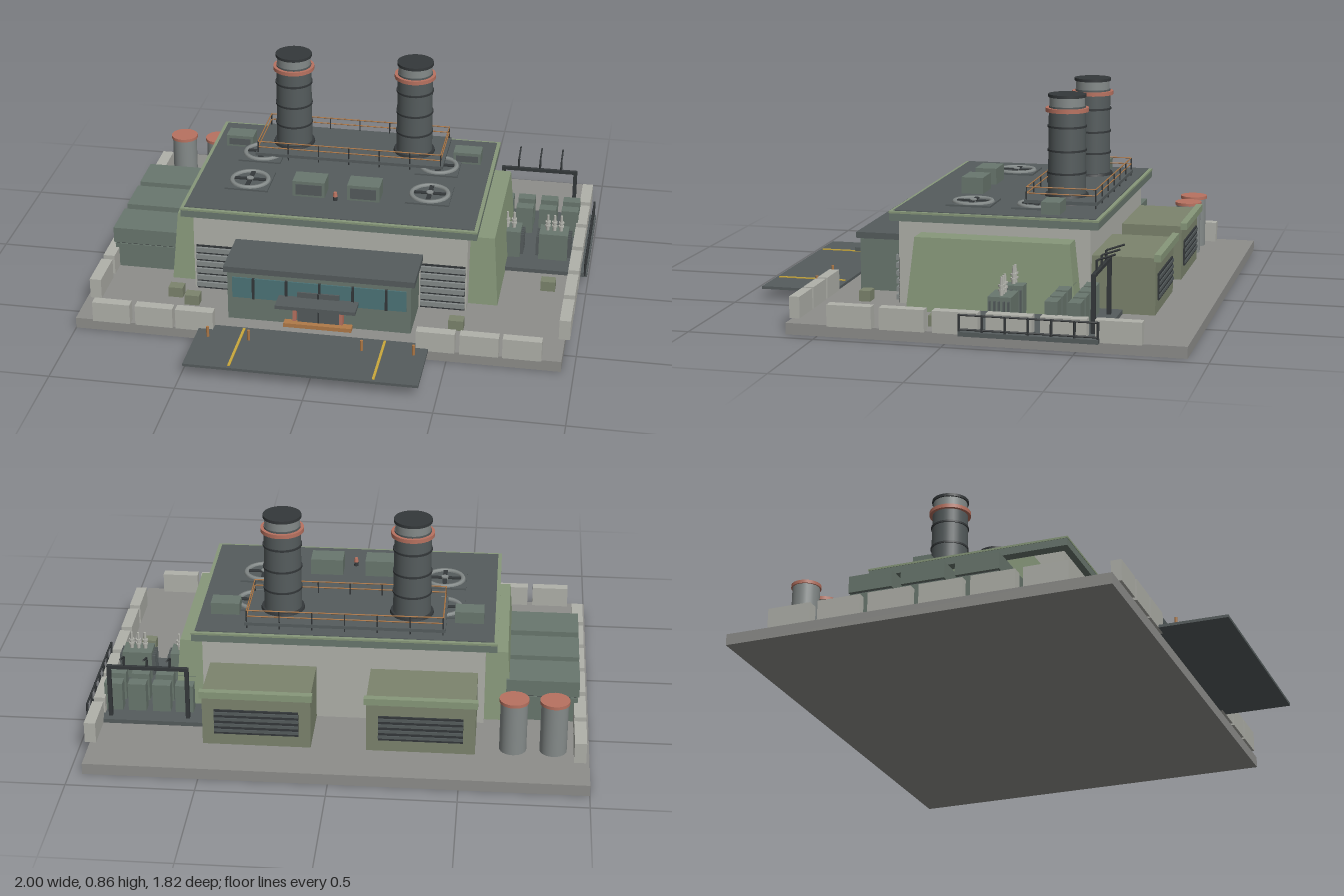
import * as THREE from 'three';

const mat = (color, double) => new THREE.MeshStandardMaterial({ color, side: double ? THREE.DoubleSide : THREE.FrontSide });
const M = {
  slab: mat(0x8e8e8b), wall: mat(0xb0b1aa), dark: mat(0x555c5d), black: mat(0x34383a),
  green: mat(0x87987a), olive: mat(0x7c846d), steel: mat(0x69776e), rust: mat(0xb87260),
  glass: mat(0x4c7478), yellow: mat(0xc9a83c), grey: mat(0x858b8a), amber: mat(0xb07a48),
};

export function createModel() {
  const root = new THREE.Group();
  const add = (parent, name, geo, m, x = 0, y = 0, z = 0) => {
    const mesh = new THREE.Mesh(geo, m);
    mesh.name = name;
    mesh.position.set(x, y, z);
    parent.add(mesh);
    return mesh;
  };
  const group = (name, x = 0, y = 0, z = 0, parent = root) => {
    const g = new THREE.Group();
    g.name = name;
    g.position.set(x, y, z);
    parent.add(g);
    return g;
  };
  // box given by its limits on each axis
  const box = (name, m, x0, x1, y0, y1, z0, z1, parent = root) =>
    add(parent, name, new THREE.BoxGeometry(x1 - x0, y1 - y0, z1 - z0), m, (x0 + x1) / 2, (y0 + y1) / 2, (z0 + z1) / 2);
  const cyl = (name, m, rTop, rBottom, y0, y1, x, z, parent = root, sides = 24) =>
    add(parent, name, new THREE.CylinderGeometry(rTop, rBottom, y1 - y0, sides), m, x, (y0 + y1) / 2, z);
  // thin round bar between two points
  const bar = (name, m, a, b, r, parent = root) => {
    const p = new THREE.Vector3(...a), d = new THREE.Vector3(...b).sub(p);
    const mesh = add(parent, name, new THREE.CylinderGeometry(r, r, d.length(), 6), m);
    mesh.position.copy(p).addScaledVector(d, 0.5);
    mesh.quaternion.setFromUnitVectors(new THREE.Vector3(0, 1, 0), d.normalize());
    return mesh;
  };
  const G = 0.045; // ground level

  // ground and forecourt
  box('groundSlab', M.slab, -1, 0.95, 0, G, -0.915, 0.625);
  box('forecourt', M.dark, -0.49, 0.43, G, 0.056, 0.6, 0.908);
  for (const x of [-0.31, 0.255]) box('laneLine', M.yellow, x - 0.005, x + 0.005, 0.056, 0.06, 0.61, 0.895);
  for (const x of [-0.44, -0.275, 0.175, 0.38]) cyl('bollard', M.amber, 0.006, 0.006, 0.056, 0.1, x, 0.69, root, 8);

  // perimeter barriers
  const barrier = (x0, x1, z0, z1) => {
    box('barrier', M.wall, x0, x1, G, 0.13, z0, z1);
  };
  for (const x of [-0.925, -0.75, -0.585, 0.38, 0.552, 0.72]) barrier(x, x + 0.153, 0.595, 0.636);
  for (let i = 0; i < 6; i++) {
    const z = -0.75 + i * 0.206;
    barrier(-0.987, -0.94, z, z + 0.175);
    barrier(0.925, 0.97, z, z + 0.175);
  }

  // main hall
  box('hall', M.wall, -0.585, 0.537, G, 0.385, -0.47, 0.295);
  box('roofBand', M.steel, -0.63, 0.575, 0.382, 0.412, -0.508, 0.323);
  box('roofTrim', M.green, -0.632, 0.577, 0.412, 0.42, -0.51, 0.325);
  box('roofDeck', M.dark, -0.617, 0.562, 0.4, 0.423, -0.495, 0.31);

  // tapered side wings
  const wing = (x0, x1, side) => {
    const mesh = box('sideWing', M.green, x0, x1, G, 0.335, -0.44, 0.235);
    const p = mesh.geometry.attributes.position;
    for (let i = 0; i < p.count; i++) if (p.getY(i) > 0) {
      p.setZ(i, p.getZ(i) * 0.91);
      if (p.getX(i) * side > 0) p.setX(i, p.getX(i) - side * 0.022);
    }
    mesh.geometry.computeVertexNormals();
  };
  wing(-0.695, -0.57, -1);
  wing(0.52, 0.657, 1);

  // louvred shutters on the front wall
  for (const [x0, x1] of [[-0.575, -0.4], [0.35, 0.53]]) {
    box('shutter', M.black, x0, x1, G, 0.245, 0.29, 0.299);
    for (let i = 0; i < 6; i++) box('shutterSlat', M.grey, x0, x1, 0.057 + i * 0.032, 0.077 + i * 0.032, 0.295, 0.31);
  }

  // entrance block
  const entry = group('entrance');
  box('entranceWall', M.steel, -0.397, 0.343, G, 0.26, 0.29, 0.515, entry);
  box('entranceRoof', M.dark, -0.41, 0.358, 0.26, 0.285, 0.29, 0.528, entry);
  box('windowBand', M.glass, -0.377, 0.325, 0.145, 0.235, 0.51, 0.52, entry);
  for (let i = 0; i < 5; i++) box('mullion', M.black, -0.296 + i * 0.134, -0.286 + i * 0.134, 0.145, 0.237, 0.51, 0.526, entry);
  box('door', M.dark, -0.112, 0.057, G, 0.195, 0.51, 0.527, entry);
  box('doorSplit', M.black, -0.03, -0.024, G, 0.195, 0.515, 0.53, entry);
  box('canopy', M.dark, -0.187, 0.135, 0.157, 0.172, 0.51, 0.605, entry);
  for (const x of [-0.122, 0.067]) box('doorLamp', M.rust, x - 0.007, x + 0.007, 0.07, 0.15, 0.51, 0.54, entry);
  box('doorStep', M.amber, -0.165, 0.11, G, 0.062, 0.51, 0.55, entry);

  // rear annexes
  for (const x of [-0.345, 0.295]) {
    const a = group('rearAnnex', x);
    box('annexBody', M.olive, -0.212, 0.212, G, 0.27, -0.72, -0.46, a);
    box('annexLip', M.green, -0.22, 0.22, 0.257, 0.285, -0.742, -0.715, a);
    box('annexWindow', M.black, -0.165, 0.165, 0.095, 0.2, -0.727, -0.715, a);
    for (let i = 0; i < 4; i++) box('annexLouvre', M.dark, -0.165, 0.165, 0.105 + i * 0.025, 0.117 + i * 0.025, -0.731, -0.72, a);
  }

  // chimneys
  for (const x of [-0.285, 0.23]) {
    const c = group('chimney', x, 0, -0.312);
    cyl('chimneyFoot', M.black, 0.085, 0.095, 0.42, 0.46, 0, 0, c, 32);
    cyl('chimneyShaft', M.dark, 0.073, 0.076, 0.42, 0.81, 0, 0, c, 32);
    cyl('chimneyNeck', M.grey, 0.07, 0.07, 0.805, 0.85, 0, 0, c, 32);
    for (const y of [0.54, 0.63, 0.725]) cyl('hoop', M.black, 0.078, 0.078, y, y + 0.008, 0, 0, c, 32);
    cyl('warningRing', M.rust, 0.086, 0.086, 0.787, 0.803, 0, 0, c, 32);
    cyl('chimneyCap', M.black, 0.076, 0.076, 0.845, 0.857, 0, 0, c, 32);
  }

  // roof platform with railing
  box('roofPlatform', M.dark, -0.425, 0.37, 0.437, 0.45, -0.462, -0.17);
  const rail = group('roofRailing');
  for (const y of [0.475, 0.5]) {
    for (const z of [-0.455, -0.177]) bar('rail', M.amber, [-0.415, y, z], [0.36, y, z], 0.0025, rail);
    for (const x of [-0.415, 0.36]) bar('rail', M.amber, [x, y, -0.455], [x, y, -0.177], 0.0025, rail);
  }
  for (let i = 0; i < 7; i++) for (const z of [-0.455, -0.177]) {
    const x = -0.415 + i * 0.1292;
    bar('railPost', M.black, [x, 0.42, z], [x, 0.5, z], 0.003, rail);
  }

  // roof fans
  for (const x of [-0.402, 0.347]) for (const z of [-0.222, 0.042]) {
    const f = group('roofFan', x, 0, z);
    box('fanBase', M.dark, -0.09, 0.09, 0.42, 0.43, -0.09, 0.09, f);
    const ring = add(f, 'fanRing', new THREE.TorusGeometry(0.075, 0.011, 6, 28), M.grey, 0, 0.429, 0);
    ring.rotation.x = Math.PI / 2;
    for (const s of [0, 1]) {
      const blade = add(f, 'fanBlade', new THREE.BoxGeometry(0.13, 0.005, 0.018), M.black, 0, 0.434, 0);
      blade.rotation.y = s * Math.PI / 2;
    }
    cyl('fanHub', M.grey, 0.015, 0.015, 0.43, 0.44, 0, 0, f, 12);
  }

  // rooftop units and beacon
  const unit = (x, z, w, d, top) => {
    box('roofUnit', M.steel, x - w / 2, x + w / 2, 0.42, top, z - d / 2, z + d / 2);
    box('roofUnitGrille', M.dark, x - w * 0.4, x + w * 0.4, 0.432, top - 0.012, z + d / 2 - 0.002, z + d / 2 + 0.003);
  };
  for (const x of [-0.515, 0.46]) unit(x, -0.308, 0.115, 0.075, 0.472);
  for (const x of [-0.138, 0.088]) unit(x, 0.097, 0.133, 0.09, 0.49);
  cyl('beaconBase', M.black, 0.008, 0.01, 0.42, 0.44, -0.026, 0.15, root, 10);
  cyl('beacon', M.rust, 0.007, 0.01, 0.44, 0.458, -0.026, 0.15, root, 10);

  // cooling units beside the left wall
  for (const z of [-0.343, -0.13, 0.088]) {
    const u = group('coolingUnit', 0, 0, z);
    box('unitBody', M.steel, -0.955, -0.67, G, 0.15, -0.085, 0.085, u);
    box('unitSeam', M.black, -0.95, -0.67, 0.15, 0.156, -0.08, 0.08, u);
    box('unitTop', M.steel, -0.96, -0.67, 0.156, 0.223, -0.088, 0.088, u);
  }

  // storage tanks with pipes
  for (const x of [-0.86, -0.703]) {
    cyl('tank', M.grey, 0.053, 0.053, G, 0.255, x, -0.66);
    cyl('tankLid', M.rust, 0.058, 0.058, 0.255, 0.268, x, -0.66);
    bar('tankPipe', M.black, [x, 0.08, -0.62], [x, 0.08, -0.53], 0.008);
  }
  box('valveBox', M.olive, -0.88, -0.82, G, 0.1, -0.527, -0.483);

  // loose crates
  for (const [x, z] of [[-0.645, 0.37], [-0.565, 0.422], [0.515, 0.437], [0.847, 0.06]])
    box('crate', M.olive, x - 0.03, x + 0.03, G, 0.088, z - 0.023, z + 0.023);

  // switchyard: pad and fence
  const yard = group('switchyard');
  box('yardPad', M.dark, 0.505, 0.998, G, 0.062, -0.593, -0.063, yard);
  for (const y of [0.07, 0.125]) bar('fenceRail', M.black, [0.988, y, -0.59], [0.988, y, -0.066], 0.004, yard);
  for (let i = 0; i < 7; i++) bar('fencePost', M.black, [0.988, 0.05, -0.59 + i * 0.0873], [0.988, 0.128, -0.59 + i * 0.0873], 0.005, yard);

  // transformers with fins and insulators
  for (const x of [0.647, 0.845]) {
    const t = group('transformer', x, 0, -0.2, yard);
    box('transformerBody', M.steel, -0.06, 0.06, 0.06, 0.18, -0.045, 0.045, t);
    for (let i = 0; i < 5; i++) for (const s of [-1, 1]) {
      const z = -0.036 + i * 0.018;
      box('fin', M.dark, s * 0.066 - 0.007, s * 0.066 + 0.007, 0.075, 0.165, z - 0.003, z + 0.003, t);
    }
    for (const dx of [-0.028, 0, 0.028]) {
      cyl('insulator', M.wall, 0.005, 0.008, 0.18, 0.25, dx, 0, t, 8);
      for (const y of [0.197, 0.214]) cyl('insulatorDisc', M.wall, 0.012, 0.012, y, y + 0.007, dx, 0, t, 10);
    }
  }
  // switch cabinets
  for (const x of [0.61, 0.702, 0.8, 0.895]) for (const z of [-0.49, -0.402])
    box('cabinet', M.steel, x - 0.036, x + 0.036, 0.06, 0.18, z - 0.024, z + 0.024, yard);

  // gantry with bent conductor arms
  for (const x of [0.59, 0.9]) box('gantryPost', M.black, x - 0.008, x + 0.008, 0.06, 0.285, -0.563, -0.547, yard);
  box('gantryBeam', M.black, 0.582, 0.908, 0.272, 0.286, -0.562, -0.548, yard);
  for (const x of [0.655, 0.747, 0.838]) {
    bar('armUpright', M.black, [x, 0.28, -0.555], [x, 0.325, -0.555], 0.005, yard);
    bar('armTip', M.black, [x, 0.325, -0.555], [x, 0.35, -0.625], 0.004, yard);
  }
  return root;
}
